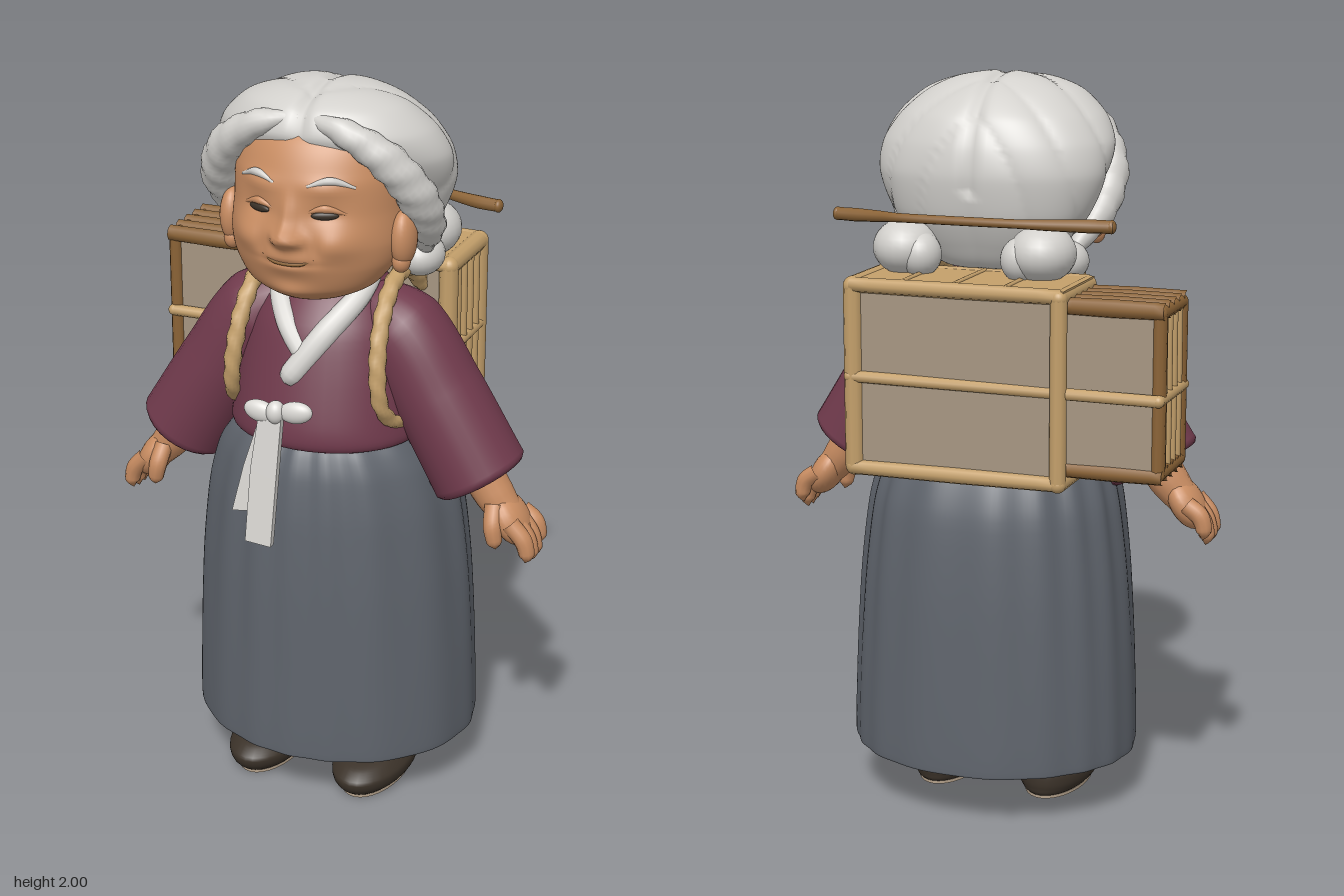
import * as THREE from 'three';
import { mergeVertices } from 'three/addons/utils/BufferGeometryUtils.js';

const V = (x, y, z) => new THREE.Vector3(x, y, z);
const mat = (name, color) => {
  const m = new THREE.MeshStandardMaterial({ color });
  m.name = name;
  return m;
};

// Face relief: [x, y, width, height, depth], mirrored in x
const RELIEF = [[0, 1.655, 0.03, 0.028, 0.042], [0, 1.7, 0.02, 0.05, 0.018], [0.03, 1.648, 0.017, 0.016, 0.018],
  [0.125, 1.64, 0.055, 0.042, 0.02], [0, 1.59, 0.07, 0.04, 0.018], [0, 1.584, 0.065, 0.008, -0.008], [0, 1.5, 0.055, 0.026, 0.016],
  [0.092, 1.712, 0.036, 0.02, -0.008], [0.09, 1.778, 0.055, 0.022, 0.009], [0.075, 1.62, 0.012, 0.03, -0.007]];

export function createModel() {
  const root = new THREE.Group();
  root.name = 'grandmotherWithPack';
  const skin = mat('skin', 0xc98d62), hairWhite = mat('white hair', 0xd2d0cc);
  const cloth = mat('white cloth', 0xdad8d4), plum = mat('plum jacket', 0x703a4c);
  const grey = mat('grey skirt', 0x5f646c), tan = mat('tan cane', 0xc4a06b);
  const brown = mat('brown wood', 0x8b6336), panelGrey = mat('woven panel', 0xa69682);
  const dark = mat('dark shoe and eye', 0x3b3229), soleTan = mat('sole', 0xb3a08a);

  const add = (name, geo, material, parent = root) => {
    const m = new THREE.Mesh(geo, material);
    m.name = name;
    parent.add(m);
    return m;
  };
  const smooth = (g) => {
    g.deleteAttribute('uv');
    g.deleteAttribute('normal');
    const s = mergeVertices(g, 1e-5);
    s.computeVertexNormals();
    return s;
  };

  // Loft of oval rings; each row is [y, half width, back z, front z], listed upward
  const loft = (rows, seg = 40, steps = 5, bend = null) => {
    const a = new THREE.CatmullRomCurve3(rows.map((r) => V(r[1], r[0], 0)), false, 'catmullrom', 0.4);
    const b = new THREE.CatmullRomCurve3(rows.map((r) => V(r[2], r[3], 0)), false, 'catmullrom', 0.4);
    const n = (rows.length - 1) * steps, pos = [], idx = [];
    for (let i = 0; i <= n; i++) {
      const p = a.getPoint(i / n), q = b.getPoint(i / n);
      for (let j = 0; j < seg; j++) {
        const t = (j / seg) * Math.PI * 2;
        const v = V(Math.sin(t) * p.x, p.y, (q.x + q.y) / 2 + Math.cos(t) * (q.y - q.x) / 2);
        if (bend) bend(v, t);
        pos.push(v.x, v.y, v.z);
        if (i === n) continue;
        const k = i * seg + j, l = i * seg + (j + 1) % seg;
        idx.push(k, l, k + seg, l, l + seg, k + seg);
      }
    }
    const g = new THREE.BufferGeometry();
    g.setAttribute('position', new THREE.Float32BufferAttribute(pos, 3));
    g.setIndex(idx);
    g.computeVertexNormals();
    return g;
  };

  // Tube whose radius follows a list along its path, with an optional rope twist
  const tube = (pts, radii, seg = 30, sides = 12, twist = 0) => {
    const c = new THREE.CatmullRomCurve3(pts.map((p) => V(...p)));
    const g = new THREE.TubeGeometry(c, seg, 1, sides, false), p = g.attributes.position, v = V();
    for (let i = 0; i <= seg; i++) {
      const o = c.getPointAt(i / seg), t = c.getUtoTmapping(i / seg) * (radii.length - 1);
      const k = Math.min(Math.floor(t), radii.length - 2);
      const r = THREE.MathUtils.lerp(radii[k], radii[k + 1], t - k);
      for (let j = 0; j <= sides; j++) {
        const n = i * (sides + 1) + j, w = 1 + twist * Math.cos((2 * j / sides) * Math.PI * 2 - i * 1.2);
        v.fromBufferAttribute(p, n).sub(o).multiplyScalar(r * w).add(o);
        p.setXYZ(n, v.x, v.y, v.z);
      }
    }
    return smooth(g);
  };
  const ball = (name, x, y, z, sx, sy, sz, material, parent) => {
    const m = add(name, new THREE.SphereGeometry(1, 24, 16), material, parent);
    m.position.set(x, y, z);
    m.scale.set(sx, sy, sz);
    return m;
  };

  // Pleated skirt with a closed underside
  add('skirt', loft([[0.175, 0, 0, 0], [0.172, 0.3, -0.25, 0.26], [0.152, 0.385, -0.33, 0.34], [0.165, 0.4, -0.342, 0.352],
    [0.4, 0.393, -0.334, 0.348], [0.65, 0.376, -0.322, 0.342], [0.85, 0.35, -0.3, 0.33], [0.97, 0.315, -0.25, 0.312],
    [1.03, 0.275, -0.17, 0.29], [1.08, 0.23, -0.11, 0.26]], 144, 5, (v, t) => {
    const fold = Math.cos(t * 17 + 2 * Math.sin(t * 3)) + 0.5 * Math.cos(t * 7 + 1);
    const k = 1 + 0.015 * fold * THREE.MathUtils.clamp((v.y - 0.1) * 1.3, 0.35, 1);
    v.x *= k;
    v.z *= k;
  }), grey);

  // Jacket body and neck
  add('jacket', loft([[1.055, 0, 0.07, 0.07], [1.05, 0.23, -0.12, 0.27], [1.065, 0.262, -0.14, 0.305], [1.12, 0.256, -0.145, 0.303],
    [1.25, 0.235, -0.14, 0.268], [1.36, 0.205, -0.13, 0.23], [1.44, 0.16, -0.11, 0.17], [1.49, 0.1, -0.06, 0.11],
    [1.5, 0, 0.03, 0.03]]), plum);
  add('neck', loft([[1.42, 0.1, -0.05, 0.14], [1.56, 0.09, -0.05, 0.14]]), skin);

  // Crossed collar, bow and ribbon tails
  add('collarUnder', tube([[0, 1.5, -0.07], [-0.1, 1.49, 0.01], [-0.115, 1.45, 0.115], [-0.06, 1.37, 0.2], [0.01, 1.29, 0.238]],
    [0.026, 0.026, 0.028, 0.03, 0.028]), cloth);
  add('collarOver', tube([[0, 1.5, -0.07], [0.1, 1.49, 0.01], [0.115, 1.45, 0.115], [0.055, 1.36, 0.21], [-0.03, 1.24, 0.258], [-0.045, 1.22, 0.258]],
    [0.026, 0.026, 0.03, 0.034, 0.032, 0]), cloth);
  ball('bowKnot', -0.04, 1.165, 0.322, 0.026, 0.032, 0.026, cloth);
  for (const s of [1, -1]) ball('bowLoop', -0.035 + s * 0.05, 1.165 + s * 0.006, 0.318, 0.048, 0.03, 0.022, cloth).rotation.z = s * 0.15;
  const ribbons = [[[-0.085, 1.16], [-0.02, 1.16], [-0.03, 0.98], [-0.04, 0.79], [-0.115, 0.795], [-0.105, 1.0]],
    [[-0.085, 1.15], [-0.045, 1.15], [-0.085, 0.88], [-0.16, 0.87], [-0.13, 1.0]]];
  ribbons.forEach((outline, i) => {
    const g = new THREE.ExtrudeGeometry(new THREE.Shape(outline.map((p) => new THREE.Vector2(...p))),
      { depth: 0.02, bevelEnabled: false });
    const p = g.attributes.position;
    for (let k = 0; k < p.count; k++) p.setZ(k, p.getZ(k) + 0.312 - i * 0.01 + (1.16 - p.getY(k)) * 0.09);
    g.computeVertexNormals();
    add('ribbonTail', g, cloth);
  });

  // Sleeves, hands, feet and shoulder ropes on both sides
  for (const s of [1, -1]) {
    const side = (pts) => pts.map(([x, y, z]) => [x * s, y, z]);
    add('sleeve', tube(side([[0.08, 1.4, 0.04], [0.2, 1.335, 0.05], [0.31, 1.17, 0.055], [0.434, 0.965, 0.06], [0.442, 0.952, 0.06], [0.43, 0.975, 0.06]]),
      [0.07, 0.12, 0.126, 0.131, 0.112, 0], 60, 28), plum);
    const hand = new THREE.Group();
    hand.name = 'hand';
    root.add(hand);
    add('wrist', tube(side([[0.42, 1.0, 0.06], [0.48, 0.91, 0.062], [0.53, 0.85, 0.065]]), [0.06, 0.054, 0.042], 16, 16), skin, hand);
    ball('palm', s * 0.528, 0.855, 0.065, 0.044, 0.078, 0.07, skin, hand).rotation.z = s * 0.55;
    for (let i = 0; i < 4; i++) {
      const z = 0.014 + i * 0.033, d = i === 0 ? 0.022 : i === 3 ? 0.008 : 0;
      add('finger', tube(side([[0.54, 0.86, z], [0.578, 0.81 + d, z], [0.59, 0.768 + d, z], [0.586, 0.745 + d, z]]),
        [0.026, 0.025, 0.021, 0], 16, 10), skin, hand);
    }
    add('thumb', tube(side([[0.49, 0.9, 0.1], [0.497, 0.85, 0.128], [0.505, 0.805, 0.13], [0.508, 0.785, 0.128]]),
      [0.026, 0.026, 0.021, 0], 16, 10), skin, hand);

    add('sock', loft([[0.05, 0.085, -0.07, 0.23], [0.095, 0.078, -0.07, 0.18], [0.14, 0.066, -0.065, 0.09], [0.23, 0.062, -0.06, 0.07]], 28), cloth)
      .position.x = s * 0.16;
    add('shoe', loft([[0.006, 0, 0.1, 0.1], [0.006, 0.075, -0.065, 0.25], [0.03, 0.102, -0.086, 0.29], [0.06, 0.106, -0.088, 0.298],
      [0.085, 0.09, -0.084, 0.265], [0.096, 0.078, -0.078, 0.22], [0.085, 0.06, -0.06, 0.19]], 32), dark).position.x = s * 0.16;
    const sole = add('sole', new THREE.CylinderGeometry(1, 1, 0.009, 32), soleTan);
    sole.position.set(s * 0.16, 0.0045, 0.095);
    sole.scale.set(0.085, 1, 0.17);

    add('shoulderRope', tube(side([[0.19, 1.4, -0.13], [0.185, 1.48, -0.03], [0.188, 1.475, 0.08], [0.195, 1.4, 0.175], [0.205, 1.28, 0.225],
      [0.215, 1.18, 0.22], [0.23, 1.12, 0.16], [0.24, 1.1, 0.02], [0.2, 1.1, -0.12]]), [0.022, 0.023, 0.023, 0.023, 0.023, 0.021, 0.019, 0.019, 0.019], 90, 12, 0.1), tan);
  }

  // Head with sculpted nose, cheeks, lips and chin
  const head = new THREE.Group();
  head.name = 'head';
  root.add(head);
  add('face', loft([[1.456, 0, 0.17, 0.17], [1.463, 0.09, 0.09, 0.25], [1.5, 0.17, 0.02, 0.3], [1.56, 0.216, -0.05, 0.322],
    [1.62, 0.232, -0.08, 0.326], [1.7, 0.23, -0.1, 0.318], [1.8, 0.225, -0.1, 0.304], [1.9, 0.185, -0.08, 0.245], [1.95, 0, 0.08, 0.08]],
  120, 10, (v, t) => {
    if (Math.cos(t) <= 0) return;
    const x = Math.abs(v.x), y = v.y;
    for (const [cx, cy, w, h, d] of RELIEF) v.z += d * Math.exp(-(((x - cx) / w) ** 2) - ((y - cy) / h) ** 2);
  }), skin, head);
  add('mouth', tube([[-0.072, 1.6, 0.321], [-0.04, 1.587, 0.331], [0, 1.584, 0.336], [0.04, 1.587, 0.331], [0.072, 1.6, 0.321]],
    [0, 0.005, 0.005, 0.005, 0], 24, 8), brown, head);
  for (const s of [1, -1]) {
    ball('eye', s * 0.09, 1.711, 0.296, 0.035, 0.011, 0.009, dark, head).rotation.y = s * 0.4;
    add('eyelid', tube([[s * 0.048, 1.718, 0.306], [s * 0.09, 1.729, 0.296], [s * 0.138, 1.714, 0.27]], [0.004, 0.011, 0.004], 14, 10), skin, head);
    add('eyebrow', tube([[s * 0.045, 1.784, 0.306], [s * 0.1, 1.8, 0.287], [s * 0.155, 1.78, 0.254]], [0.004, 0.011, 0.004], 14, 10), hairWhite, head);
    ball('ear', s * 0.24, 1.625, 0.14, 0.034, 0.075, 0.048, skin, head);
    ball('earlobe', s * 0.238, 1.565, 0.15, 0.024, 0.03, 0.028, skin, head);
  }

  // Parted hair with combed grooves, side rolls, low buns and a long hairpin
  const core = V(0, 1.76, 0.03);
  add('hair', loft([[1.49, 0, -0.02, -0.02], [1.5, 0.15, -0.12, 0.05], [1.56, 0.22, -0.165, 0.075], [1.64, 0.275, -0.2, 0.11],
    [1.74, 0.315, -0.215, 0.165], [1.82, 0.316, -0.203, 0.225], [1.89, 0.278, -0.17, 0.262], [1.95, 0.21, -0.1, 0.235],
    [1.985, 0.12, -0.03, 0.17], [2.0, 0, 0.07, 0.07]], 120, 8, (v) => {
    const groove = Math.abs(Math.sin(17 * (v.z + 0.9 * Math.abs(v.x)) + 8 * v.y));
    const parting = v.y > 1.7 ? Math.exp(-((v.x / 0.018) ** 2)) : 0;
    v.sub(core).multiplyScalar(0.98 + 0.036 * Math.sqrt(groove) - 0.05 * parting);
    v.x *= 1 + 0.25 * v.z;
    v.add(core);
  }), hairWhite, head);
  for (const s of [1, -1]) {
    add('sideRoll', tube([[s * 0.01, 1.935, 0.225], [s * 0.11, 1.915, 0.238], [s * 0.215, 1.845, 0.205], [s * 0.275, 1.74, 0.14], [s * 0.275, 1.64, 0.06], [s * 0.23, 1.54, -0.03]],
      [0.012, 0.034, 0.048, 0.052, 0.046, 0.02], 50, 16, 0.06), hairWhite, head);
    ball('bun', s * 0.19, 1.55, -0.165, 0.088, 0.076, 0.097, hairWhite, head);
    ball('bunCurl', s * 0.14, 1.535, -0.19, 0.055, 0.06, 0.06, hairWhite, head);
    ball('napeCurl', s * 0.215, 1.515, -0.05, 0.062, 0.055, 0.075, hairWhite, head);
  }
  add('hairpin', tube([[-0.385, 1.63, -0.18], [-0.32, 1.63, -0.186], [-0.22, 1.632, -0.215], [-0.14, 1.634, -0.235], [0.18, 1.634, -0.23], [0.25, 1.632, -0.208], [0.32, 1.63, -0.19], [0.385, 1.63, -0.18]],
    [0.017, 0.018, 0.015, 0.012, 0.012, 0.015, 0.018, 0.017], 50, 10), brown, head);
  for (const s of [1, -1]) ball('hairpinEnd', s * 0.38, 1.63, -0.18, 0.012, 0.018, 0.018, brown, head);

  // Back pack: a large and a smaller woven case
  const pack = new THREE.Group();
  pack.name = 'backPack';
  root.add(pack);
  const box = (name, x0, x1, y0, y1, z0, z1, m) =>
    add(name, new THREE.BoxGeometry(x1 - x0, y1 - y0, z1 - z0), m, pack).position.set((x0 + x1) / 2, (y0 + y1) / 2, (z0 + z1) / 2);
  const rod = (name, a, b, r, m) => add(name, tube([a, a.map((c, i) => (c + b[i]) / 2), b], [r, r * 1.08, r], 10, 8), m, pack);
  const hoop = (name, corners, r, m) => corners.forEach((p, i) => {
    ball(name + 'Corner', ...p, r, r, r, m, pack);
    add(name, new THREE.TubeGeometry(new THREE.LineCurve3(V(...p), V(...corners[(i + 1) % 4])), 1, r, 10), m, pack);
  });
  const ring = (x, y0, y1, z0, z1) => [[x, y0, z0], [x, y1, z0], [x, y1, z1], [x, y0, z1]];

  box('largeCase', -0.3, 0.262, 0.99, 1.465, -0.35, -0.11, panelGrey);
  box('largeLid', -0.31, 0.27, 1.455, 1.488, -0.357, -0.1, tan);
  box('largeBase', -0.31, 0.27, 0.972, 1.0, -0.355, -0.1, tan);
  box('largeEnd', 0.255, 0.266, 0.99, 1.465, -0.34, -0.11, brown);
  box('smallCase', -0.545, -0.3, 1.02, 1.435, -0.328, -0.115, panelGrey);
  box('smallEnd', -0.552, -0.54, 1.02, 1.435, -0.31, -0.12, brown);

  // Frames, vertical bands and the rope around the middle
  hoop('endFrame', ring(0.27, 0.988, 1.468, -0.342, -0.112), 0.026, tan);
  hoop('dividerBand', ring(-0.295, 0.985, 1.468, -0.35, -0.105), 0.022, tan);
  hoop('smallFrame', ring(-0.55, 1.025, 1.44, -0.315, -0.12), 0.019, brown);
  hoop('middleRope', [[0.278, 1.23, -0.352], [-0.555, 1.22, -0.338], [-0.555, 1.22, -0.105], [0.278, 1.23, -0.105]], 0.016, tan);
  for (const z of [-0.35, -0.105]) {
    rod('edgeCane', [0.272, 1.472, z], [-0.3, 1.472, z], 0.02, tan);
    rod('edgeCane', [0.272, 0.985, z], [-0.3, 0.985, z], 0.02, tan);
  }
  for (const x of [-0.15, -0.01, 0.13]) rod('lidStrip', [x, 1.487, -0.352], [x, 1.487, -0.11], 0.007, tan);

  // End slats and the bundled rods above and below the small case
  for (let i = 0; i < 4; i++) {
    const z = -0.298 + i * 0.047;
    rod('endSlat', [0.275, 0.99, z], [0.275, 1.465, z], 0.015, tan);
    rod('smallEndSlat', [-0.552, 1.02, z + 0.008], [-0.552, 1.435, z + 0.008], 0.012, tan);
  }
  for (let i = 0; i < 5; i++) {
    const z = -0.318 + i * 0.05;
    rod('topRod', [-0.565, 1.445, z], [-0.3, 1.445, z], 0.023, brown);
    rod('bottomRod', [-0.565, 1.02, z], [-0.3, 1.02, z], 0.021, brown);
  }
  return root;
}
